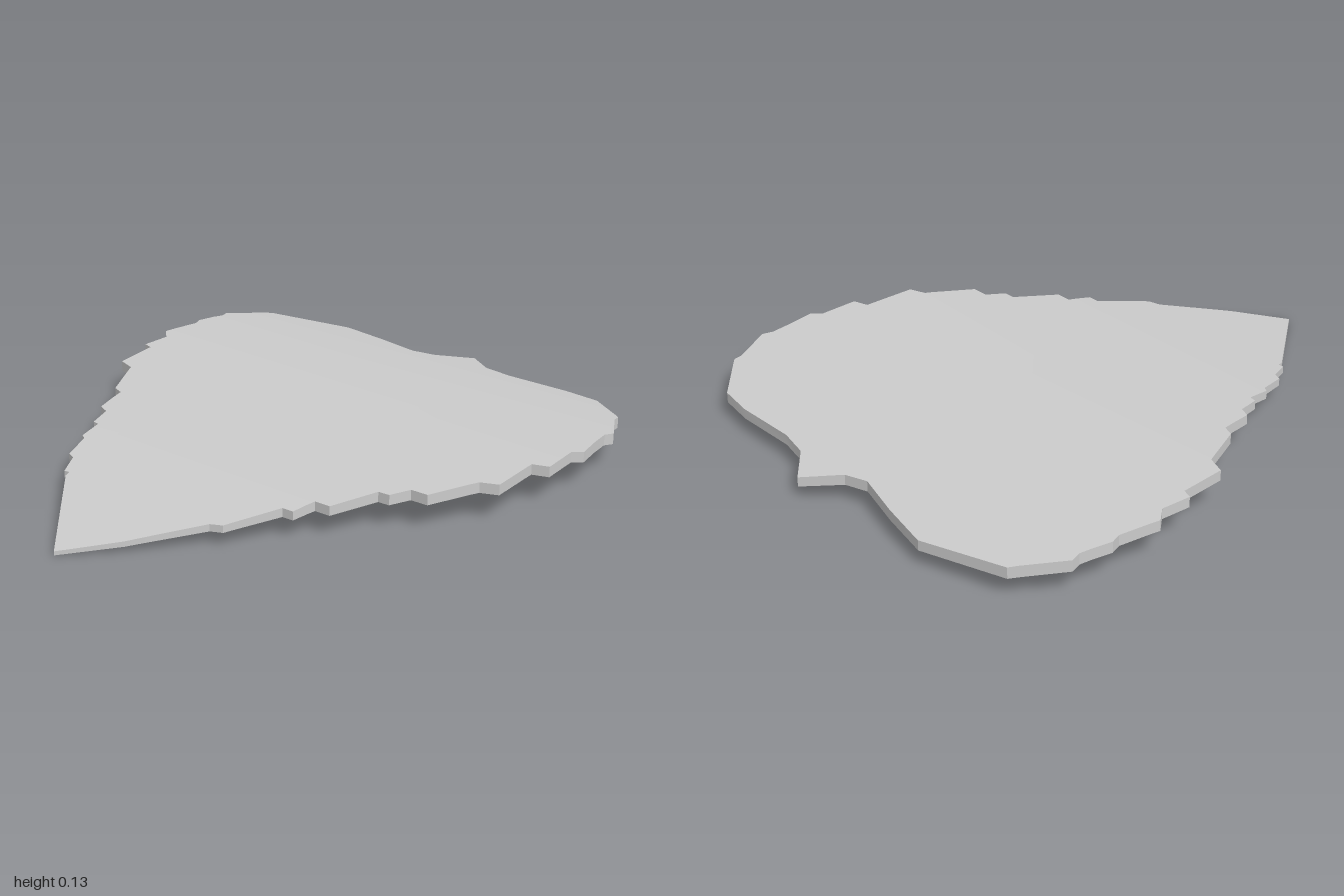
import * as THREE from 'three';
import { toCreasedNormals } from 'three/addons/utils/BufferGeometryUtils.js';

// Ragged leaf outline as x, z pairs, clockwise from the stem point at the back
const OUTLINE = [
  0.04, -1, 0.15, -0.92, 0.26, -0.905, 0.49, -0.92, 0.62, -0.91, 0.78, -0.79, 0.785, -0.76,
  0.862, -0.635, 0.85, -0.6, 0.863, -0.525, 0.885, -0.43, 0.857, -0.4, 0.873, -0.26,
  0.82, -0.24, 0.836, -0.05, 0.78, -0.025, 0.71, 0.14, 0.65, 0.143, 0.62, 0.21, 0.58, 0.213,
  0.52, 0.368, 0.465, 0.37, 0.45, 0.453, 0.41, 0.455, 0.33, 0.627, 0.29, 0.643, 0.14, 0.85,
  0, 1,
  -0.3, 0.675, -0.305, 0.655, -0.325, 0.658, -0.365, 0.583, -0.395, 0.573, -0.43, 0.473,
  -0.45, 0.463, -0.465, 0.378, -0.49, 0.375, -0.515, 0.295, -0.555, 0.28, -0.585, 0.16,
  -0.625, 0.147, -0.715, -0.015, -0.78, -0.035, -0.805, -0.2, -0.84, -0.21, -0.84, -0.315,
  -0.885, -0.36, -0.87, -0.5, -0.885, -0.535, -0.868, -0.64, -0.88, -0.675, -0.78, -0.825,
  -0.49, -0.925, -0.31, -0.9, -0.14, -0.867, -0.06, -0.895,
];

// Arched profile along the length: z, underside height, upper height
const PROFILE = [
  [-1, 0.04, 0.072], [-0.8, 0.067, 0.105], [-0.6, 0.085, 0.122], [-0.4, 0.091, 0.127],
  [-0.2, 0.092, 0.127], [0, 0.09, 0.125], [0.2, 0.081, 0.115], [0.4, 0.067, 0.098],
  [0.6, 0.048, 0.073], [0.8, 0.025, 0.044], [1, 0, 0.013],
];

function heightAt(z, side) {
  let i = 0;
  while (i < PROFILE.length - 2 && z > PROFILE[i + 1][0]) i++;
  const a = PROFILE[i], b = PROFILE[i + 1];
  return THREE.MathUtils.lerp(a[side], b[side], (z - a[0]) / (b[0] - a[0]));
}

// Keep the part of a polygon on one side of the line z = limit
function clip(points, limit, sign) {
  const out = [];
  points.forEach((p, i) => {
    const q = points[(i + 1) % points.length];
    const dp = (p.y - limit) * sign, dq = (q.y - limit) * sign;
    if (dp >= 0) out.push(p);
    if (dp * dq < 0) out.push(p.clone().lerp(q, dp / (dp - dq)));
  });
  return out;
}

function leafGeometry() {
  const outline = [];
  for (let i = 0; i < OUTLINE.length; i += 2) outline.push(new THREE.Vector2(OUTLINE[i], OUTLINE[i + 1]));
  const positions = [];
  const put = (p, side) => positions.push(p.x, heightAt(p.y, side), p.y);

  // Upper and lower skins, filled band by band so they follow the arch
  for (let i = 0; i < PROFILE.length - 1; i++) {
    const band = clip(clip(outline, PROFILE[i][0], 1), PROFILE[i + 1][0], -1);
    if (band.length < 3) continue;
    for (const face of THREE.ShapeUtils.triangulateShape(band, [])) {
      let [a, b, c] = face.map((k) => band[k]);
      const area = (b.x - a.x) * (c.y - a.y) - (b.y - a.y) * (c.x - a.x);
      if (Math.abs(area) < 1e-9) continue;
      if (area > 0) [b, c] = [c, b];
      [a, b, c].forEach((p) => put(p, 2));
      [a, c, b].forEach((p) => put(p, 1));
    }
  }

  // Rim, split wherever an edge crosses a bend line
  outline.forEach((p, i) => {
    const q = outline[(i + 1) % outline.length];
    const cuts = PROFILE.map(([z]) => (z - p.y) / (q.y - p.y)).filter((t) => t > 0.001 && t < 0.999);
    const stops = [0, ...cuts.sort((m, n) => m - n), 1].map((t) => p.clone().lerp(q, t));
    for (let k = 0; k < stops.length - 1; k++) {
      const a = stops[k], b = stops[k + 1];
      put(a, 1); put(a, 2); put(b, 2);
      put(a, 1); put(b, 2); put(b, 1);
    }
  });

  const geometry = new THREE.BufferGeometry();
  geometry.setAttribute('position', new THREE.Float32BufferAttribute(positions, 3));
  return toCreasedNormals(geometry, 0.3);
}

export function createModel() {
  const group = new THREE.Group();
  group.name = 'leaf';
  const blade = new THREE.Mesh(leafGeometry(), new THREE.MeshStandardMaterial({ color: 0xcccccc }));
  blade.name = 'leafBlade';
  group.add(blade);
  return group;
}
